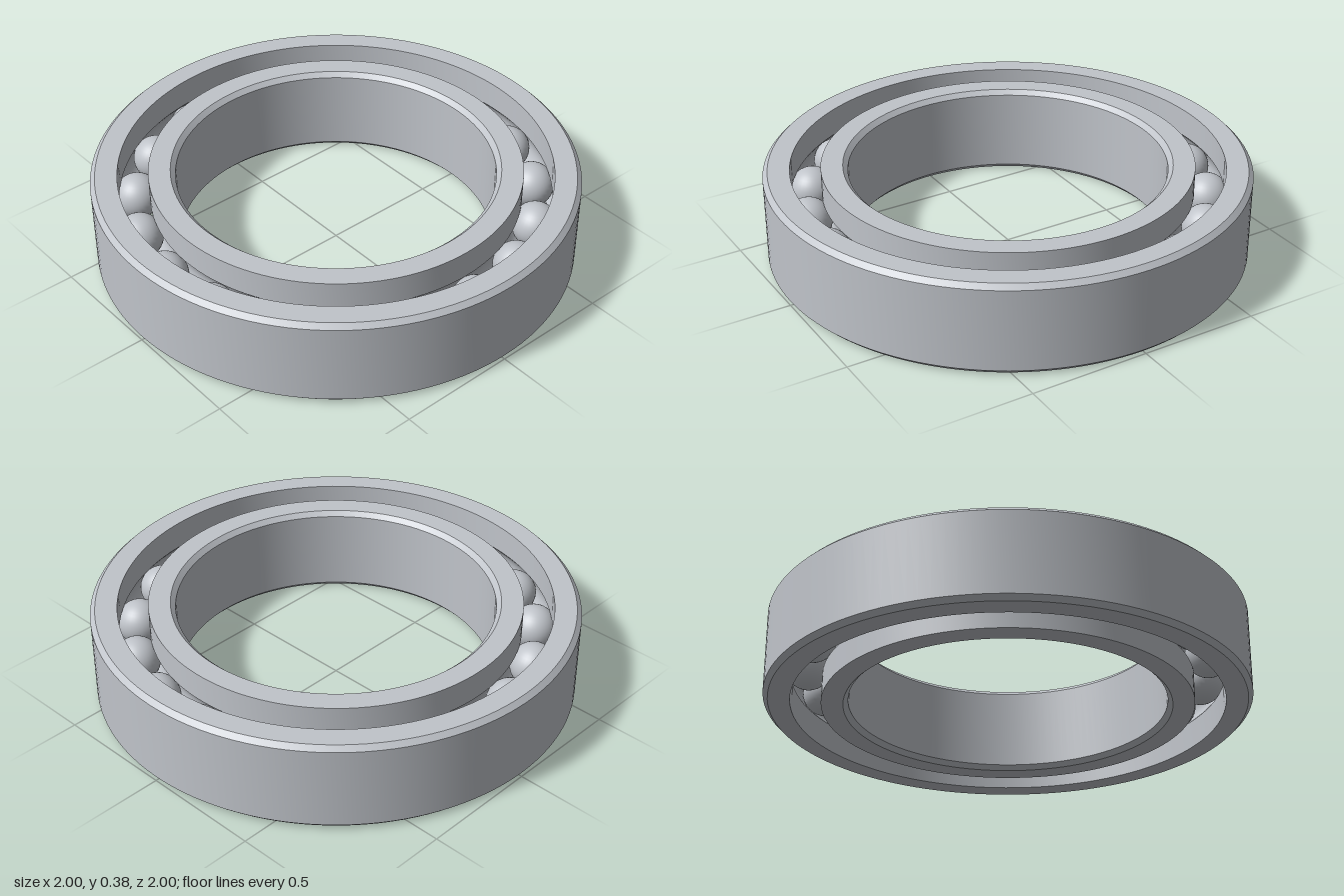
import * as THREE from 'three';
import { toCreasedNormals } from 'three/addons/utils/BufferGeometryUtils.js';

const HEIGHT = 0.385, MID = HEIGHT / 2;
const BORE = 0.655, INNER_LAND = 0.765, OUTER_LAND = 0.89, RIM = 1;
const CHAMFER = 0.02;
const PITCH = (INNER_LAND + OUTER_LAND) / 2;
const BALL_RADIUS = 0.096, BALLS = 19;

// Points of the ball groove cut into a land; side is +1 for the outer ring, -1 for the inner.
// They run upwards for the inner ring and downwards for the outer ring.
function groove(side) {
  const r = BALL_RADIUS + 0.001;
  const half = Math.acos((OUTER_LAND - PITCH) / r);
  const points = [];
  for (let i = 0; i <= 12; i++) {
    const a = half * (1 - i / 6);
    points.push([PITCH + side * r * Math.cos(a), MID + side * r * Math.sin(a)]);
  }
  return points;
}

function ring(name, profile, material) {
  const points = [...profile, profile[0]].map(([r, y]) => new THREE.Vector2(r, y));
  const geometry = toCreasedNormals(new THREE.LatheGeometry(points, 128), Math.PI / 6);
  const mesh = new THREE.Mesh(geometry, material);
  mesh.name = name;
  return mesh;
}

export function createModel() {
  const model = new THREE.Group();
  model.name = 'ballBearing';
  const steel = new THREE.MeshStandardMaterial({ color: 0xc0c4ca });
  steel.name = 'steel';

  // Inner ring: chamfered bore, grooved outside
  model.add(ring('innerRing', [
    [BORE, CHAMFER], [BORE + CHAMFER, 0], [INNER_LAND, 0],
    ...groove(-1),
    [INNER_LAND, HEIGHT], [BORE + CHAMFER, HEIGHT], [BORE, HEIGHT - CHAMFER],
  ], steel));

  // Outer ring: chamfered rim, grooved inside
  model.add(ring('outerRing', [
    [OUTER_LAND, 0], [RIM - CHAMFER, 0], [RIM, CHAMFER],
    [RIM, HEIGHT - CHAMFER], [RIM - CHAMFER, HEIGHT], [OUTER_LAND, HEIGHT],
    ...groove(1),
  ], steel));

  // Balls, evenly spaced from +x
  const balls = new THREE.Group();
  balls.name = 'balls';
  const ballGeometry = new THREE.SphereGeometry(BALL_RADIUS, 32, 20);
  for (let i = 0; i < BALLS; i++) {
    const a = (i / BALLS) * Math.PI * 2;
    const ball = new THREE.Mesh(ballGeometry, steel);
    ball.name = 'ball';
    ball.position.set(PITCH * Math.cos(a), MID, PITCH * Math.sin(a));
    balls.add(ball);
  }
  model.add(balls);
  return model;
}
